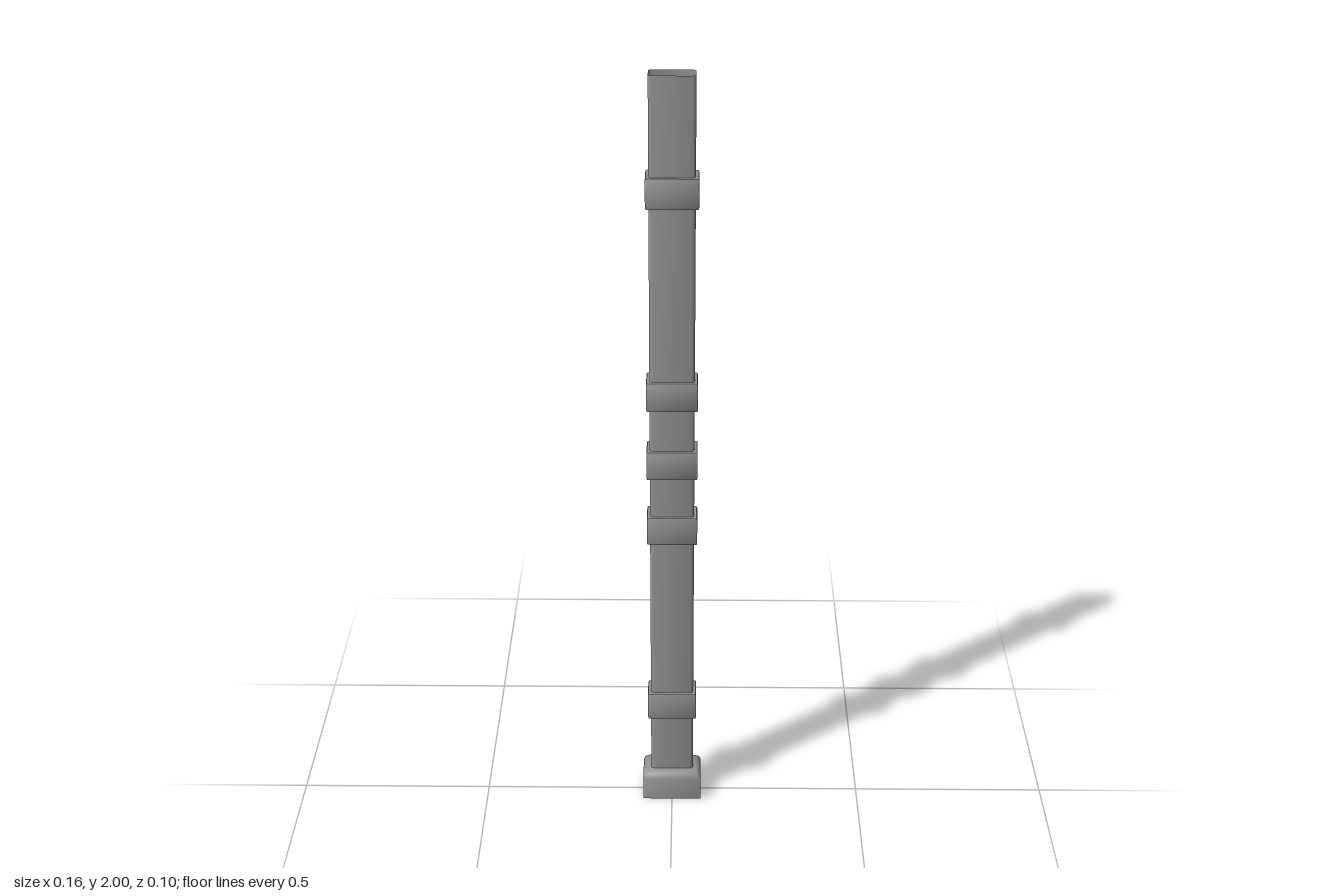
import * as THREE from 'three';
import { toCreasedNormals } from 'three/addons/utils/BufferGeometryUtils.js';

const material = new THREE.MeshStandardMaterial({ color: 0x949494, side: THREE.DoubleSide });

// Rectangle outline with rounded corners, as [x, z] points
function outline(hx, hz, r, steps) {
  const points = [];
  [[1, 1], [-1, 1], [-1, -1], [1, -1]].forEach(([sx, sz], corner) => {
    for (let i = 0; i <= steps; i++) {
      const a = (corner + i / steps) * Math.PI / 2;
      points.push([sx * (hx - r) + r * Math.cos(a), sz * (hz - r) + r * Math.sin(a)]);
    }
  });
  return points;
}

// Skin through sections [y, halfX, halfZ, cornerRadius], with optional flat ends
function loft(name, sections, { steps = 2, top = false, bottom = false } = {}) {
  const positions = [], index = [];
  const n = 4 * (steps + 1);
  for (const [y, hx, hz, r] of sections)
    for (const [x, z] of outline(hx, hz, r, steps)) positions.push(x, y, z);
  for (let s = 0; s < sections.length - 1; s++)
    for (let i = 0; i < n; i++) {
      const a = s * n + i, b = s * n + (i + 1) % n;
      index.push(a, a + n, b, b, a + n, b + n);
    }
  const last = (sections.length - 1) * n;
  for (let i = 1; i < n - 1; i++) {
    if (top) index.push(last, last + i + 1, last + i);
    if (bottom) index.push(0, i, i + 1);
  }
  const geometry = new THREE.BufferGeometry();
  geometry.setAttribute('position', new THREE.Float32BufferAttribute(positions, 3));
  geometry.setIndex(index);
  const mesh = new THREE.Mesh(toCreasedNormals(geometry, 0.9), material);
  mesh.name = name;
  return mesh;
}

export function createModel() {
  const model = new THREE.Group();
  model.name = 'bandedPost';

  // Hollow post, open at both ends
  model.add(loft('post', [[0, 0.056, 0.025, 0.008], [2, 0.056, 0.025, 0.008]]));

  // Closed collars with crisp, very slightly drawn-in rims
  [0.287, 0.816, 1.002, 1.191, 1.717].forEach((y, i) => {
    const h = 0.038, b = 0.005;
    model.add(loft(`band${i + 1}`, [
      [y - h, 0.0625, 0.0335, 0.0015],
      [y - h + b, 0.064, 0.035, 0.0015],
      [y + h - b, 0.064, 0.035, 0.0015],
      [y + h, 0.0625, 0.0335, 0.0015],
    ], { top: true, bottom: true }));
  });

  // Foot with a bevelled top, open underneath
  model.add(loft('foot', [
    [0, 0.0775, 0.049, 0.002],
    [0.062, 0.0775, 0.049, 0.002],
    [0.074, 0.073, 0.045, 0.002],
    [0.083, 0.064, 0.036, 0.002],
  ], { top: true }));

  return model;
}
